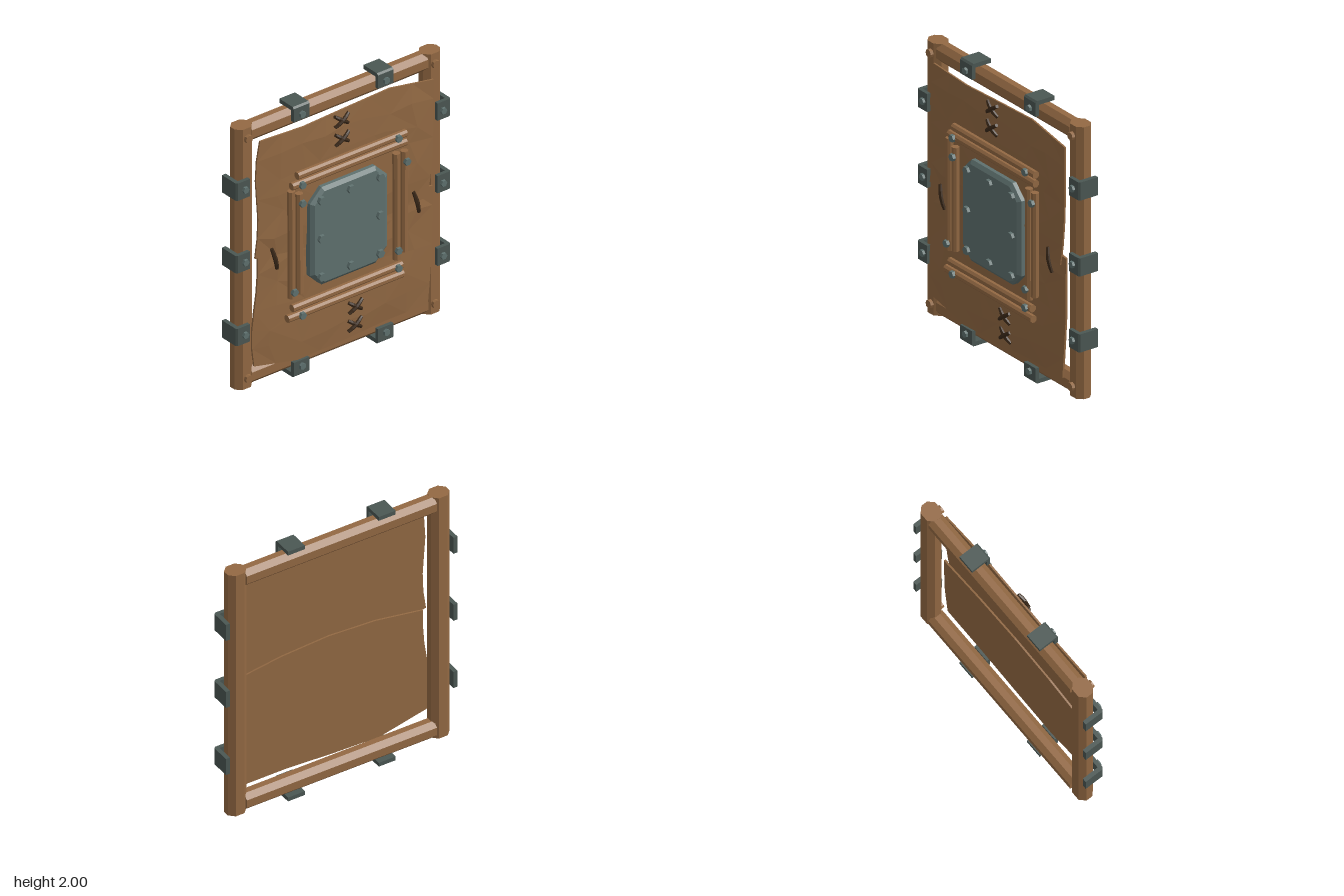
import * as THREE from 'three';

const mat = (name, color) => {
  const m = new THREE.MeshStandardMaterial({ color, flatShading: true });
  m.name = name;
  return m;
};

export function createModel() {
  const wood = mat('wood', 0x936943);
  const hide = mat('hide', 0x926943);
  const iron = mat('dark iron', 0x4b5753);
  const steel = mat('steel plate', 0x5f716f);
  const cord = mat('cord', 0x3c2a1a);
  const model = new THREE.Group();

  const add = (name, geo, material, x = 0, y = 0, z = 0, parent = model) => {
    const m = new THREE.Mesh(geo, material);
    m.name = name;
    m.position.set(x, y, z);
    parent.add(m);
    return m;
  };

  // Rectangle with cut corners
  const octShape = (w, h, c) => {
    const a = w / 2, b = h / 2;
    return new THREE.Shape([[a - c, -b], [a, -b + c], [a, b - c], [a - c, b],
      [-a + c, b], [-a, b - c], [-a, -b + c], [-a + c, -b]].map(p => new THREE.Vector2(...p)));
  };
  // Eight-sided bar: upright by default, or lying along x
  const bar = (w, d, len, c, lying = false) => {
    const g = new THREE.ExtrudeGeometry(octShape(w, d, c), { depth: len, bevelEnabled: false });
    g.translate(0, 0, -len / 2).rotateX(Math.PI / 2);
    if (lying) g.rotateZ(Math.PI / 2);
    return g;
  };
  // Fastener head facing +z, its back at z
  const bolt = (name, x, y, z, r, h, material, sides = 6, parent = model) => {
    const g = new THREE.CylinderGeometry(r * 0.95, r, h, sides);
    g.rotateY(Math.PI / 2).rotateX(Math.PI / 2).translate(0, 0, h / 2);
    return add(name, g, material, x, y, z, parent);
  };

  // Outer frame and wooden pegs
  for (const s of [-1, 1]) {
    add('framePost', bar(0.14, 0.12, 1.925, 0.037), wood, s * 0.77, 1.0025, -0.062);
    add('frameRail', bar(0.13, 0.115, 1.44, 0.035, true), wood, 0, 1.0025 + s * 0.897, -0.067);
    for (const y of [0.115, 1.89]) bolt('framePeg', s * 0.765, y, -0.01, 0.03, 0.03, wood, 8);
  }

  // Angle brackets wrapped over the frame
  const angle = new THREE.Shape([[0, -0.122], [0, 0.015], [-0.012, 0.027], [-0.11, 0.027],
    [-0.11, 0], [-0.03, 0], [-0.03, -0.122]].map(p => new THREE.Vector2(...p)));
  const angleGeo = new THREE.ExtrudeGeometry(angle, { depth: 0.128, bevelEnabled: false });
  angleGeo.translate(0, 0, -0.064).rotateX(Math.PI / 2);
  const bracket = (x, y, turn) => {
    const g = new THREE.Group();
    g.name = 'bracket';
    g.position.set(x, y, 0);
    g.rotation.z = turn;
    add('bracketAngle', angleGeo, iron, 0, 0, 0, g);
    bolt('bracketBolt', -0.068, 0, 0.024, 0.025, 0.021, steel, 6, g);
    model.add(g);
  };
  for (const y of [0.465, 1.003, 1.54]) {
    bracket(0.877, y, 0);
    bracket(-0.877, y, Math.PI);
  }
  for (const x of [-0.345, 0.343]) {
    bracket(x, 2, Math.PI / 2);
    bracket(x, 0, -Math.PI / 2);
  }

  // Piecewise-linear lookup through evenly spaced values
  const along = (list, t) => {
    const f = t * (list.length - 1), i = Math.min(Math.floor(f), list.length - 2);
    return list[i] + (list[i + 1] - list[i]) * (f - i);
  };
  // Creased hide panel: flat back, puckered front, closed rim
  const hidePanel = (e, back, edge, bulge, seed) => {
    const N = 8, M = 6, pos = [], idx = [];
    let s = seed;
    const rnd = () => (s = (s * 16807) % 2147483647) / 2147483647;
    for (let layer = 0; layer < 2; layer++) for (let j = 0; j <= M; j++) for (let i = 0; i <= N; i++) {
      const u = i / N, v = j / M;
      const inner = i > 0 && i < N && j > 0 && j < M;
      const l = along(e.left, v), r = along(e.right, v);
      const b = along(e.bottom, u), t = along(e.top, u);
      const jx = inner ? (rnd() - 0.5) * 0.1 : 0, jy = inner ? (rnd() - 0.5) * 0.08 : 0;
      const z = inner ? edge + bulge * (0.45 + 0.55 * rnd()) : edge;
      pos.push(l + (r - l) * u + (layer ? 0 : jx), b + (t - b) * v + (layer ? 0 : jy), layer ? back : z);
    }
    const id = (i, j, k) => k * (N + 1) * (M + 1) + j * (N + 1) + i;
    for (let j = 0; j < M; j++) for (let i = 0; i < N; i++) {
      const f = [id(i, j, 0), id(i + 1, j, 0), id(i + 1, j + 1, 0), id(i, j + 1, 0)];
      const k = f.map(n => n + (N + 1) * (M + 1));
      if ((i + j) % 2) idx.push(f[0], f[1], f[2], f[0], f[2], f[3]);
      else idx.push(f[0], f[1], f[3], f[1], f[2], f[3]);
      idx.push(k[0], k[2], k[1], k[0], k[3], k[2]);
    }
    const rim = (p, q) => {
      const a = id(...p, 0), b = id(...q, 0), c = id(...q, 1), d = id(...p, 1);
      idx.push(a, d, c, a, c, b);
    };
    for (let i = 0; i < N; i++) { rim([i, 0], [i + 1, 0]); rim([i + 1, M], [i, M]); }
    for (let j = 0; j < M; j++) { rim([N, j], [N, j + 1]); rim([0, j + 1], [0, j]); }
    const g = new THREE.BufferGeometry();
    g.setAttribute('position', new THREE.Float32BufferAttribute(pos, 3));
    g.setIndex(idx);
    const flat = g.toNonIndexed();
    flat.computeVertexNormals();
    return flat;
  };
  add('upperHide', hidePanel({
    left: [-0.73, -0.70, -0.715, -0.73, -0.69], right: [0.68, 0.715, 0.725, 0.728, 0.73],
    bottom: [1.0, 0.94, 0.92, 0.93, 0.95], top: [1.855, 1.835, 1.85, 1.863, 1.80],
  }, 0.022, 0.034, 0.016, 71), hide);
  add('lowerHide', hidePanel({
    left: [-0.73, -0.755, -0.73, -0.70, -0.70], right: [0.69, 0.71, 0.725, 0.725, 0.73],
    bottom: [0.2, 0.12, 0.13, 0.15, 0.15], top: [1.0, 1.06, 1.08, 1.06, 1.01],
  }, 0.01, 0.024, 0.016, 233), hide);

  // Wooden battens: x1, x2, y1, y2, bolt x, bolt y, tilt
  const battens = [
    [-0.42, 0.47, 1.493, 1.543, 0.39, 1.515, -0.003],
    [-0.465, 0.47, 1.43, 1.48, -0.395, 1.455, -0.003],
    [-0.46, 0.435, 0.53, 0.58, 0.39, 0.555, 0.004],
    [-0.50, 0.445, 0.463, 0.513, -0.395, 0.49, -0.003],
    [-0.49, -0.438, 0.635, 1.425, -0.46, 0.685, 0.004],
    [-0.425, -0.375, 0.65, 1.385, -0.395, 1.32, 0.003],
    [0.37, 0.42, 0.61, 1.395, 0.39, 0.685, 0.004],
    [0.433, 0.483, 0.65, 1.39, 0.46, 1.32, -0.004],
  ];
  for (const [x1, x2, y1, y2, bx, by, tilt] of battens) {
    const lying = x2 - x1 > y2 - y1;
    const g = bar(0.05, 0.048, lying ? x2 - x1 : y2 - y1, 0.014, lying);
    const m = add('batten', g, wood, (x1 + x2) / 2, (y1 + y2) / 2, 0.071);
    m.rotation.z = tilt;
    bolt('battenBolt', bx, by, 0.09, 0.027, 0.023, steel);
  }

  // Central armour plate with bevelled edge
  const plate = new THREE.ExtrudeGeometry(octShape(0.58, 0.67, 0.08),
    { depth: 0.028, bevelThickness: 0.02, bevelSize: 0.025, bevelSegments: 1 });
  const p = plate.attributes.position;
  for (let i = 0; i < p.count; i++) if (p.getZ(i) < 0) {
    p.setXY(i, p.getX(i) * 1.08, p.getY(i) * 1.07);
  }
  plate.computeVertexNormals();
  add('centrePlate', plate, steel, 0, 1.005, 0.045);
  for (const x of [-0.24, 0, 0.24]) for (const y of [0.72, 1.003, 1.285]) {
    if (x || y !== 1.003) bolt('plateBolt', x, y, 0.09, 0.031, 0.024, steel);
  }

  // Cord stitches, thicker and raised at mid-length
  const stitch = (x, y, z, len, w, turn) => {
    const g = new THREE.CylinderGeometry(w / 2, w / 2, len, 6, 4);
    const q = g.attributes.position;
    for (let i = 0; i < q.count; i++) {
      const k = Math.cos(q.getY(i) / len * Math.PI);
      q.setXYZ(i, q.getX(i) * (0.75 + 0.25 * k), q.getY(i), q.getZ(i) * 0.8 + 0.012 * k);
    }
    add('stitch', g, cord, x, y, z).rotation.z = turn;
  };
  for (const [x, y, z] of [[-0.035, 1.785, 0.046], [-0.035, 1.652, 0.05], [0.085, 0.36, 0.036], [0.085, 0.225, 0.03]]) {
    stitch(x, y, z, 0.135, 0.032, 0.95);
    stitch(x, y, z + 0.004, 0.135, 0.032, -0.95);
  }
  for (const x of [-0.58, 0.58]) stitch(x, 0.952, 0.042, 0.17, 0.032, 0.27);

  return model;
}
